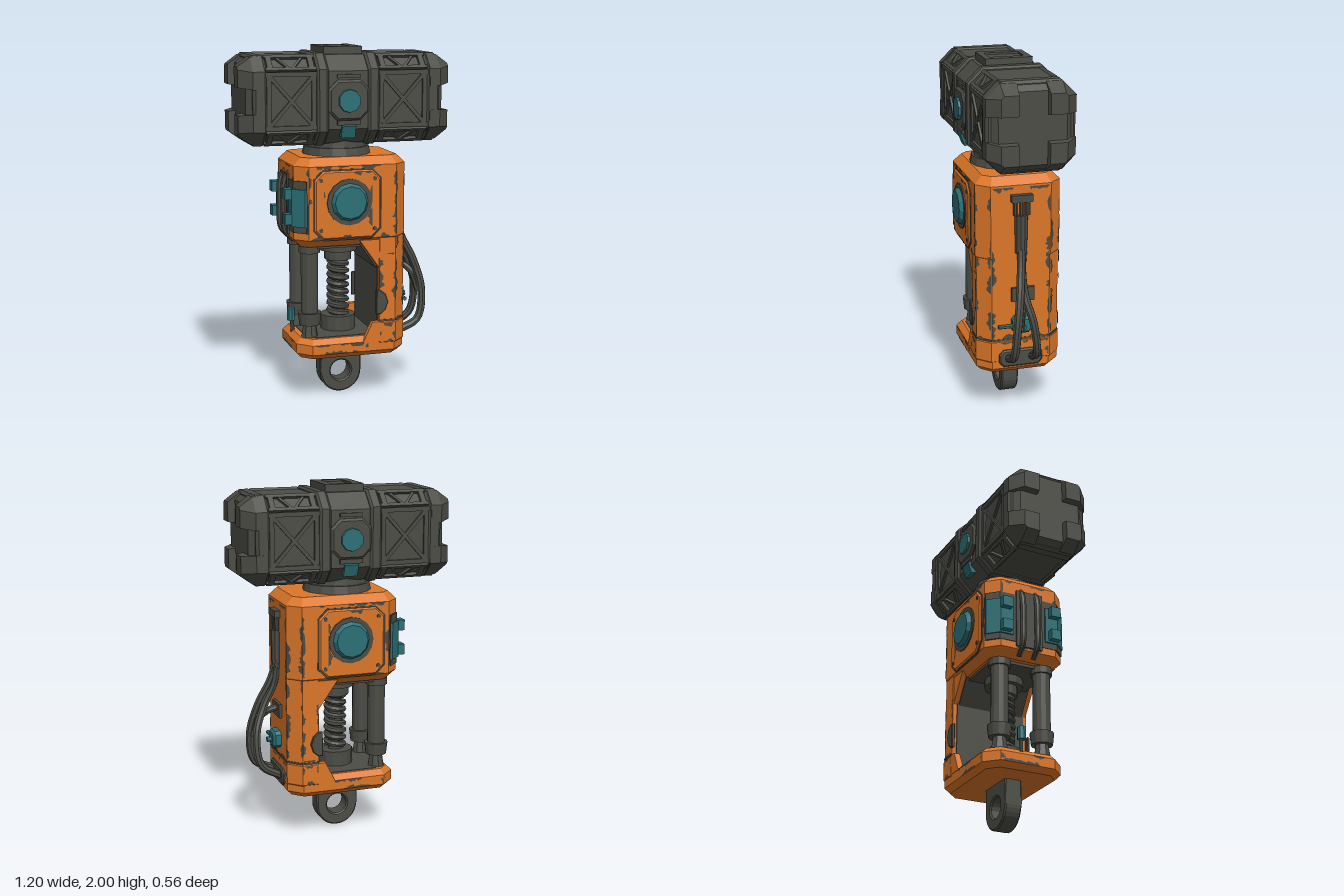
import * as THREE from 'three';
import { mergeGeometries } from 'three/addons/utils/BufferGeometryUtils.js';
import { ConvexGeometry } from 'three/addons/geometries/ConvexGeometry.js';

const mat = (name, color) => {
  const m = new THREE.MeshStandardMaterial({ color, flatShading: true });
  m.name = name;
  return m;
};

export function createModel() {
  const model = new THREE.Group();
  model.name = 'hydraulicHammer';
  const steel = mat('dark steel', 0x4c4c46);
  const orange = mat('orange paint', 0xdc7628);
  const teal = mat('teal paint', 0x2a7076);
  const q = Math.PI / 4;
  let seed = 11;
  const rnd = () => (seed = (seed * 16807) % 2147483647) / 2147483647;

  const add = (name, geo, m, x = 0, y = 0, z = 0, parent = model) => {
    const mesh = new THREE.Mesh(geo, m);
    mesh.name = name;
    mesh.position.set(x, y, z);
    parent.add(mesh);
    return mesh;
  };
  const box = (name, w, h, d, m, x, y, z, parent) => add(name, new THREE.BoxGeometry(w, h, d), m, x, y, z, parent);
  const cyl = (name, r1, r2, h, m, x, y, z, n = 12, parent) =>
    add(name, new THREE.CylinderGeometry(r1, r2, h, n), m, x, y, z, parent);
  const poly = pts => new THREE.Shape(pts.map(p => new THREE.Vector2(...p)));
  // Rectangle x0..x1, +-h, with separate corner cuts on its left and right ends
  const cutRect = (x0, x1, h, cl, cr = cl) => poly([
    [x0 + cl, -h], [x1 - cr, -h], [x1, -h + cr], [x1, h - cr], [x1 - cr, h], [x0 + cl, h], [x0, h - cl], [x0, -h + cl]]);
  // Bevelled prism centred on its axis
  const prism = (shape, len, bevel = 0, axis = 'z') => {
    const g = new THREE.ExtrudeGeometry(shape, {
      depth: len - 2 * bevel, bevelEnabled: bevel > 0, bevelSize: bevel, bevelOffset: -bevel,
      bevelThickness: bevel, bevelSegments: 1, curveSegments: 8 });
    g.translate(0, 0, bevel - len / 2);
    if (axis === 'y') g.rotateX(-Math.PI / 2);
    if (axis === 'x') g.rotateY(Math.PI / 2);
    return g;
  };
  const tube = (name, pts, r, m = steel) =>
    add(name, new THREE.TubeGeometry(new THREE.CatmullRomCurve3(pts.map(p => new THREE.Vector3(...p))), 28, r, 8), m);

  // ---- Hammer head ----
  const head = new THREE.Group();
  head.name = 'hammerHead';
  head.position.y = 1.715;
  model.add(head);
  const section = (hz, hy, c) => cutRect(-hz, hz, hy, c);
  add('headCore', prism(section(0.225, 0.235, 0.08), 1.12, 0.04, 'x'), steel, 0, 0, 0, head);
  add('headMiddle', prism(section(0.24, 0.243, 0.085), 0.24, 0.01, 'x'), steel, 0, 0, 0, head);
  for (const s of [-1, 1]) {
    add('centreBand', prism(section(0.25, 0.253, 0.085), 0.065, 0.012, 'x'), steel, s * 0.145, 0, 0, head);
    add('endCollar', prism(section(0.243, 0.245, 0.085), 0.08, 0.015, 'x'), steel, s * 0.49, 0, 0, head);
    // Four bevelled bumpers on each striking face
    for (const sy of [-1, 1]) for (const sz of [-1, 1]) {
      const pts = [];
      const ring = (x, a, b, c, d, k) => [[a, c], [b, c], [b, d - k], [b - k, d], [a, d]]
        .forEach(([z, y]) => pts.push(new THREE.Vector3(s * x, sy * y, sz * z)));
      ring(0.47, 0.078, 0.245, 0.066, 0.243, 0.08);
      ring(0.53, 0.078, 0.243, 0.066, 0.235, 0.075);
      ring(0.6, 0.084, 0.178, 0.075, 0.185, 0.015);
      add('cornerBumper', new ConvexGeometry(pts), steel, 0, 0, 0, head);
    }
    for (const f of [-1, 1]) {
      // Cross-braced side panels
      const panel = new THREE.Group();
      panel.name = 'bracedPanel';
      panel.position.set(s * 0.317, 0, f * 0.228);
      head.add(panel);
      for (const k of [-1, 1]) {
        box('panelRail', 0.29, 0.025, 0.022, steel, 0, k * 0.145, 0, panel);
        box('panelPost', 0.025, 0.3, 0.018, steel, k * 0.125, 0, 0, panel);
        box('crossBrace', 0.37, 0.02, 0.018, steel, 0, 0, 0, panel).rotation.z = k * 0.84;
      }
      // Trussed slots along the upper and lower chamfers
      for (const v of [-1, 1]) {
        const slot = new THREE.Group();
        slot.name = 'chamferTruss';
        slot.position.set(s * 0.317, v * 0.197, f * 0.187);
        slot.rotation.x = -v * f * q;
        head.add(slot);
        for (const k of [-1, 1]) {
          box('trussRail', 0.28, 0.02, 0.03, steel, 0, k * 0.045, 0, slot);
          box('trussPost', 0.03, 0.1, 0.03, steel, k * 0.115, 0, 0, slot);
          box('trussBar', 0.1, 0.014, 0.024, steel, k * 0.04, 0, 0, slot).rotation.z = k * 0.9;
        }
      }
    }
  }
  for (const f of [-1, 1]) {
    add('lampHousing', prism(cutRect(-0.115, 0.115, 0.11, 0.05), 0.03, 0.012), steel, 0, 0, f * 0.243, head);
    cyl('headLamp', 0.062, 0.07, 0.05, teal, 0, -0.003, f * 0.247, 10, head).rotation.x = f * Math.PI / 2;
    box('lowerLamp', 0.08, 0.07, 0.03, teal, 0, -0.17, f * 0.231, head).rotation.x = f * 0.35;
    box('lampHood', 0.13, 0.025, 0.03, steel, 0, -0.122, f * 0.24, head);
    box('lampHood', 0.13, 0.02, 0.03, steel, 0, 0.13, f * 0.235, head);
  }
  box('topBlock', 0.2, 0.045, 0.26, steel, 0, 0.252, 0, head);
  for (const f of [-1, 1]) {
    box('topBlockRim', 0.22, 0.05, 0.035, steel, 0, 0.26, f * 0.115, head);
    box('topBlockRim', 0.05, 0.05, 0.22, steel, f * 0.085, 0.26, 0, head);
  }

  // ---- Neck ----
  cyl('neckRing', 0.185, 0.195, 0.05, steel, 0, 1.418, 0, 16);
  cyl('neck', 0.165, 0.175, 0.1, steel, 0, 1.45, 0, 16);

  // ---- Orange frame ----
  add('upperBody', prism(cutRect(-0.295, 0.35, 0.24, 0.07), 0.5, 0.045, 'y'), orange, 0, 1.15, 0);
  box('bodyUnderside', 0.4, 0.03, 0.36, steel, -0.02, 0.9, 0);
  add('column', prism(cutRect(0.185, 0.35, 0.235, 0.001, 0.07), 0.55, 0, 'y'), orange, 0, 0.715, 0);
  box('columnInnerPlate', 0.008, 0.55, 0.42, steel, 0.182, 0.64, 0);
  add('gusset', prism(poly([[0.07, 0.93], [0.19, 0.76], [0.19, 0.93]]), 0.46), orange);
  add('gussetLining', prism(poly([[0.06, 0.93], [0.185, 0.75], [0.185, 0.93]]), 0.4), steel);
  add('base', prism(cutRect(-0.28, 0.35, 0.237, 0.075), 0.115, 0.03, 'y'), orange, 0, 0.315, 0);
  add('baseStep', prism(cutRect(0.186, 0.352, 0.24, 0.001, 0.07), 0.13, 0.008, 'y'), orange, 0, 0.392, 0);
  add('columnSeam', prism(cutRect(0.186, 0.353, 0.239, 0.001, 0.07), 0.01, 0, 'y'), steel, 0, 0.461, 0);
  add('baseDeck', prism(cutRect(-0.22, 0.19, 0.19, 0.05, 0.001), 0.012, 0, 'y'), steel, 0, 0.37, 0);

  for (const f of [-1, 1]) {
    add('baseCheek', prism(poly([[0.09, 0.34], [0.19, 0.34], [0.19, 0.455], [0.145, 0.455]]), 0.035), orange, 0, 0, f * 0.222);

    // Round port on a raised plate, front and back
    add('portBacking', prism(cutRect(-0.203, 0.193, 0.198, 0.055), 0.01), steel, 0, 1.14, f * 0.239);
    add('portPlate', prism(cutRect(-0.195, 0.185, 0.19, 0.05), 0.02, 0.008), orange, 0, 1.14, f * 0.243);
    cyl('portRing', 0.13, 0.13, 0.02, steel, 0.003, 1.155, f * 0.25, 16).rotation.x = Math.PI / 2;
    cyl('portCap', 0.09, 0.116, 0.036, teal, 0.003, 1.155, f * 0.264, 12).rotation.x = f * Math.PI / 2;
    for (const [x, y] of [[-0.16, 1.0], [0.15, 1.0], [-0.16, 1.28], [0.15, 1.28]])
      cyl('plateBolt', 0.012, 0.012, 0.01, steel, x, y, f * 0.252, 6).rotation.x = Math.PI / 2;
    add('columnPivot', prism(poly([[0.165, 0.5], [0.19, 0.5], [0.22, 0.525], [0.235, 0.57], [0.22, 0.615], [0.19, 0.64], [0.165, 0.64]]), 0.02, 0.004),
      steel, 0, 0, f * 0.237);

    // Teal units wrapped round the chamfered corners of the open side
    const wrap = (out, z0) => poly([[-0.235, 0.24], [-0.235 - out, 0.24], [-0.295 - out, 0.178], [-0.295 - out, z0], [-0.25, z0]]
      .map(([x, z]) => [x, -f * z]));
    add('unitMount', prism(wrap(0.004, 0.08), 0.29, 0, 'y'), steel, 0, 1.13, 0);
    add('unitCase', prism(wrap(0.014, 0.1), 0.21, 0, 'y'), teal, 0, 1.125, 0);
    for (const y of [1.06, 1.2]) box('unitLatch', 0.04, 0.06, 0.06, teal, -0.325, y, f * 0.15);
    tube('sidePipe', [[-0.28, 1.31, f * 0.045], [-0.312, 1.26, f * 0.045], [-0.32, 1.1, f * 0.045], [-0.312, 0.98, f * 0.045], [-0.26, 0.92, f * 0.045]], 0.018);

    // Twin piston rods
    cyl('rodUpper', 0.05, 0.05, 0.4, steel, -0.195, 0.7, f * 0.13);
    cyl('rodCollar', 0.062, 0.062, 0.04, steel, -0.195, 0.88, f * 0.13);
    cyl('rodSleeve', 0.068, 0.06, 0.07, steel, -0.195, 0.48, f * 0.13);
    cyl('rodFoot', 0.035, 0.05, 0.09, steel, -0.195, 0.41, f * 0.13, 8);
  }
  box('sidePanel', 0.02, 0.34, 0.16, steel, -0.298, 1.13, 0);
  cyl('rodValve', 0.025, 0.025, 0.07, teal, -0.262, 0.465, -0.03, 8);
  cyl('rodValveStem', 0.012, 0.012, 0.09, steel, -0.255, 0.405, -0.03, 6);

  // ---- Spring shock absorber ----
  cyl('springCore', 0.042, 0.042, 0.5, steel, 0.01, 0.64, 0);
  cyl('springSeat', 0.1, 0.1, 0.09, steel, 0.01, 0.415, 0, 14);
  cyl('springCap', 0.078, 0.078, 0.07, steel, 0.01, 0.82, 0, 14);
  cyl('springMount', 0.11, 0.11, 0.06, steel, 0.01, 0.87, 0, 14);
  const coil = [];
  for (let i = 0; i <= 96; i++) {
    const a = i / 12 * Math.PI * 2;
    coil.push(new THREE.Vector3(0.01 + Math.cos(a) * 0.05, 0.46 + i * 0.0035, Math.sin(a) * 0.05));
  }
  add('spring', new THREE.TubeGeometry(new THREE.CatmullRomCurve3(coil), 160, 0.017, 6), steel);

  // ---- Hanging eye ----
  const eye = new THREE.Shape();
  eye.moveTo(-0.108, 0.27);
  eye.lineTo(-0.108, 0.12);
  eye.absarc(0.014, 0.124, 0.122, Math.PI, Math.PI * 2, false);
  eye.lineTo(0.136, 0.27);
  const hole = new THREE.Path();
  hole.absarc(0.014, 0.13, 0.06, 0, Math.PI * 2, true);
  eye.holes.push(hole);
  add('hangingEye', prism(eye, 0.1, 0.008), steel, 0, -0.002, 0);

  // ---- Hoses and fittings on the column ----
  box('hoseBracket', 0.04, 0.04, 0.12, steel, 0.362, 1.285, 0);
  for (const z of [-0.035, 0, 0.035]) cyl('hosePlug', 0.014, 0.014, 0.08, steel, 0.365, 1.23, z, 8);
  cyl('hoseSleeve', 0.038, 0.034, 0.22, steel, 0.352, 1.08, 0, 10);
  tube('outerHose', [[0.36, 1, 0], [0.39, 0.9, 0.01], [0.46, 0.75, 0.035], [0.502, 0.58, 0.06], [0.475, 0.41, 0.07], [0.35, 0.345, 0.07]], 0.024);
  tube('innerHose', [[0.36, 1, -0.01], [0.375, 0.88, 0], [0.435, 0.75, 0.0], [0.488, 0.6, -0.035], [0.47, 0.42, -0.06], [0.35, 0.345, -0.065]], 0.023);
  tube('shortHose', [[0.34, 0.74, -0.01], [0.4, 0.73, -0.01], [0.455, 0.68, 0.02], [0.49, 0.57, 0.04]], 0.02);
  box('hosePort', 0.03, 0.08, 0.13, steel, 0.352, 0.73, -0.01);
  add('hoseInlet', prism(cutRect(-0.125, 0.125, 0.05, 0.025), 0.025, 0.008, 'x'), steel, 0.355, 0.35, 0);
  add('valve', prism(cutRect(-0.055, 0.055, 0.048, 0.018), 0.06, 0.012, 'x'), teal, 0.365, 0.555, 0);
  cyl('valveKnob', 0.016, 0.016, 0.04, teal, 0.4, 0.55, 0, 8).rotation.z = Math.PI / 2;
  cyl('valveStem', 0.012, 0.012, 0.12, teal, 0.375, 0.55, 0.075, 6).rotation.x = Math.PI / 2;

  // ---- Worn paint: ragged thin chips flush with the edges of painted faces ----
  const chips = [];
  const wear = (x, y, z, turn, w, h, n) => {
    for (let i = 0; i < n; i++) {
      const upright = rnd() < h / (w + h);
      const [run, across] = upright ? [h, w] : [w, h];
      const long = Math.min(0.03 + rnd() * 0.08, run * 0.5), deep = Math.min(0.01 + rnd() * 0.022, across * 0.4);
      const start = -run / 2 + rnd() * (run - long), side = rnd() < 0.5 ? -1 : 1;
      const pts = [[start, across / 2], [start + long, across / 2]];
      for (let k = 4; k >= 1; k--) pts.push([start + long * k / 5, across / 2 - deep * (0.35 + 0.65 * rnd())]);
      const shape = poly(pts.map(([a, b]) => upright ? [side * b, a] : [a, side * b]));
      chips.push(new THREE.ShapeGeometry(shape).translate(0, 0, 0.002).rotateY(turn).translate(x, y, z));
    }
  };
  wear(0.35, 0.905, 0, 2 * q, 0.33, 0.88, 24);
  wear(0.352, 0.39, 0, 2 * q, 0.33, 0.11, 8);
  wear(-0.295, 1.15, 0, -2 * q, 0.34, 0.4, 10);
  wear(-0.28, 0.315, 0, -2 * q, 0.32, 0.055, 8);
  for (const f of [-1, 1]) {
    const turn = f > 0 ? 0 : Math.PI;
    wear(0.315, 0.905, f * 0.205, f > 0 ? q : 3 * q, 0.099, 0.88, 20);
    wear(-0.26, 1.15, f * 0.205, f > 0 ? -q : -3 * q, 0.099, 0.41, 5);
    wear(0.233, 0.66, f * 0.235, turn, 0.094, 0.38, 9);
    wear(0.028, 1.15, f * 0.24, turn, 0.505, 0.41, 20);
    wear(-0.005, 1.14, f * 0.253, turn, 0.28, 0.36, 7);
    wear(-0.04, 0.315, f * 0.237, turn, 0.32, 0.055, 9);
    wear(0.235, 0.39, f * 0.24, turn, 0.09, 0.11, 5);
  }
  add('paintWear', mergeGeometries(chips), steel);

  return model;
}
